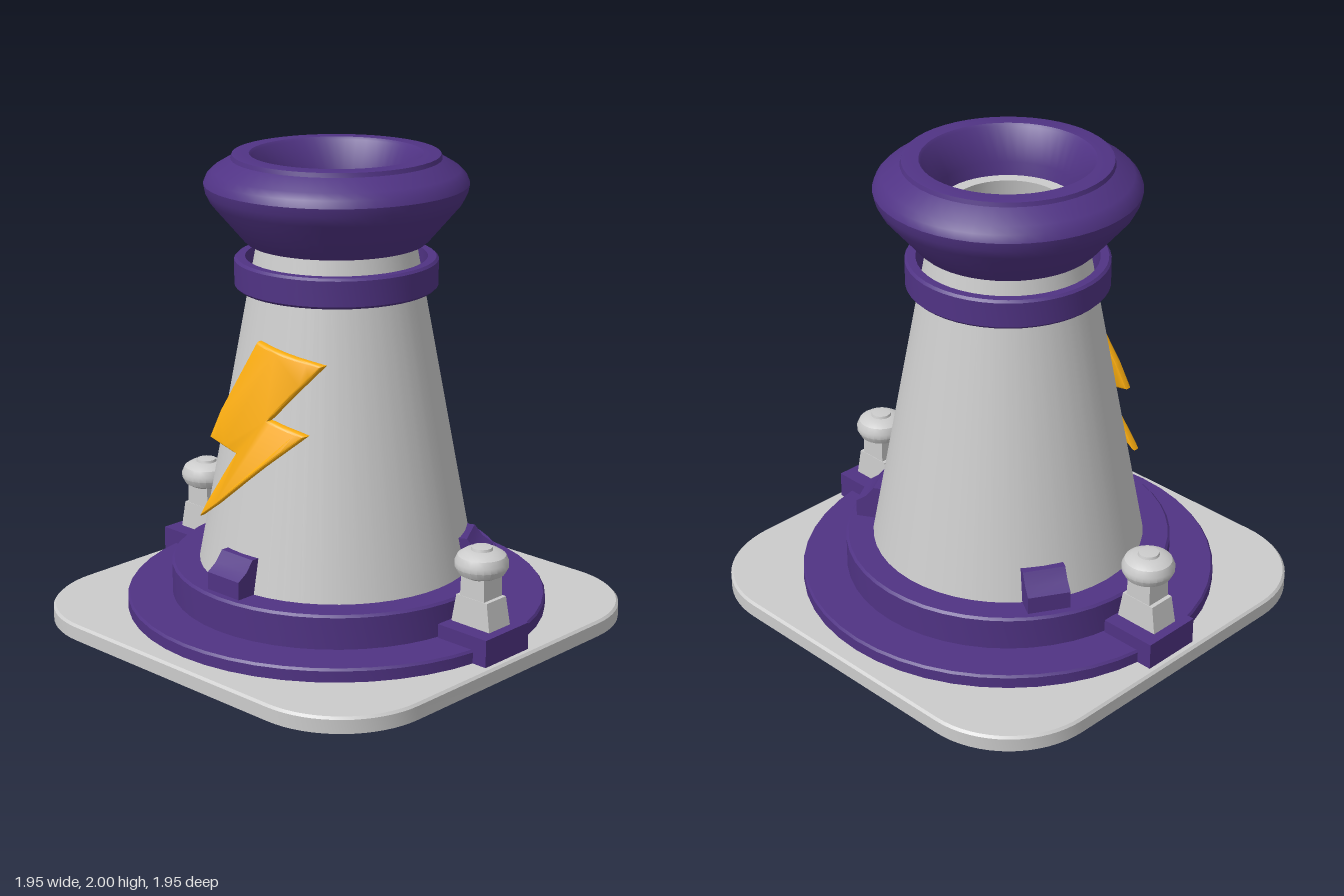
import * as THREE from 'three';
import { toCreasedNormals } from 'three/addons/utils/BufferGeometryUtils.js';

const grey = new THREE.MeshStandardMaterial({ color: 0xcccccc, side: THREE.DoubleSide });
const purple = new THREE.MeshStandardMaterial({ color: 0x503384, side: THREE.DoubleSide });
const yellow = new THREE.MeshStandardMaterial({ color: 0xffb010 });

const V = (x, y) => new THREE.Vector2(x, y);

function part(parent, name, geometry, material, x = 0, y = 0, z = 0) {
  const mesh = new THREE.Mesh(toCreasedNormals(geometry, 0.5), material);
  mesh.name = name;
  mesh.position.set(x, y, z);
  parent.add(mesh);
}

// Profile runs counter-clockwise: outside going up, inside coming down
const lathe = (points, segments = 48) =>
  new THREE.LatheGeometry(points.map(([r, y]) => V(r, y)), segments);

// Rectangle with rounded corners, centred on the origin
function roundedRect(hx, hy, r, Type = THREE.Shape) {
  const s = new Type();
  s.moveTo(hx, -hy + r);
  s.lineTo(hx, hy - r);
  if (r) s.absarc(hx - r, hy - r, r, 0, Math.PI / 2);
  s.lineTo(-hx + r, hy);
  if (r) s.absarc(-hx + r, hy - r, r, Math.PI / 2, Math.PI);
  s.lineTo(-hx, -hy + r);
  if (r) s.absarc(-hx + r, -hy + r, r, Math.PI, Math.PI * 1.5);
  s.lineTo(hx - r, -hy);
  if (r) s.absarc(hx - r, -hy + r, r, Math.PI * 1.5, Math.PI * 2);
  return s;
}

// Extrude upwards from y0 to y1
function slab(shape, y0, y1, bevel = 0) {
  const g = new THREE.ExtrudeGeometry(shape, {
    depth: y1 - y0 - 2 * bevel, curveSegments: 8, bevelEnabled: bevel > 0,
    bevelThickness: bevel, bevelSize: bevel, bevelOffset: -bevel, bevelSegments: 1,
  });
  return g.rotateX(-Math.PI / 2).translate(0, y0 + bevel, 0);
}

// Box whose top is narrower than its bottom
function taperedBox(w, h, d, topX, topZ) {
  const g = new THREE.BoxGeometry(w, h, d);
  const p = g.attributes.position;
  for (let i = 0; i < p.count; i++) {
    if (p.getY(i) > 0) p.setXYZ(i, p.getX(i) * topX, p.getY(i), p.getZ(i) * topZ);
  }
  return g;
}

// Radius of the tower wall at height y
const towerRadius = (y) => 0.582 - 0.187 * (y - 0.27);

function boltGeometry() {
  const corners = [
    [-0.035, 1.27], [-0.19, 0.97], [-0.23, 0.86], [-0.07, 0.825], [-0.235, 0.535],
    [0.22, 0.937], [0.055, 0.977], [0.25, 1.218],
  ].map(([x, y]) => V(x, y));
  // Subdivide the edges so the outline can follow the tower
  const outline = [];
  corners.forEach((a, i) => {
    const b = corners[(i + 1) % corners.length];
    for (let k = 0; k < 6; k++) outline.push(a.clone().lerp(b, k / 6));
  });
  const g = new THREE.ExtrudeGeometry(new THREE.Shape(outline), {
    depth: 0.015, bevelThickness: 0.01, bevelSize: 0.01, bevelSegments: 3,
  });
  // Flat on one side, wrapped back round the tower on the other
  const p = g.attributes.position;
  for (let i = 0; i < p.count; i++) {
    const front = towerRadius(p.getY(i)) + 0.03 - 1.1 * Math.max(0, p.getX(i)) ** 2;
    p.setZ(i, p.getZ(i) - 0.025 + front);
  }
  return g;
}

export function createModel() {
  const model = new THREE.Group();
  model.name = 'tower';

  // Base plate: hollow below, chamfered on top
  const skirt = roundedRect(0.975, 0.975, 0.41);
  skirt.holes.push(roundedRect(0.96, 0.96, 0.395, THREE.Path));
  part(model, 'plateSkirt', slab(skirt, 0, 0.058), grey);
  part(model, 'plateTop', slab(roundedRect(0.975, 0.975, 0.41), 0.048, 0.068, 0.01), grey);

  // Stepped foot
  part(model, 'foot', lathe([
    [0.88, 0.045], [0.89, 0.045], [0.89, 0.115], [0.882, 0.125], [0.7, 0.125],
    [0.7, 0.26], [0.69, 0.27], [0.58, 0.27], [0.58, 0.07],
  ]), purple);

  // Hollow tower wall
  part(model, 'towerWall', lathe([
    [towerRadius(0.07), 0.07], [towerRadius(1.8), 1.8], [0.225, 1.8], [0.53, 0.07],
  ]), grey);

  // Loose hoop round the neck
  part(model, 'neckBand', lathe([
    [0.375, 1.45], [0.41, 1.45], [0.42, 1.46], [0.42, 1.565], [0.41, 1.575],
    [0.375, 1.575], [0.375, 1.45],
  ]), purple);

  // Flared rim
  part(model, 'rim', lathe([
    [0.28, 1.638], [0.37, 1.638], [0.385, 1.652], [0.515, 1.805], [0.535, 1.845],
    [0.542, 1.88], [0.53, 1.91], [0.505, 1.935], [0.43, 1.98], [0.425, 1.998],
    [0.415, 2], [0.355, 2], [0.345, 1.99], [0.28, 1.86], [0.28, 1.638],
  ]), purple);

  // Lightning bolt on the front
  part(model, 'bolt', boltGeometry(), yellow);

  // Three wedge brackets round the bottom of the tower
  const wedge = new THREE.Shape([
    V(0.53, 0.25), V(0.66, 0.25), V(0.66, 0.345), V(0.615, 0.375), V(0.58, 0.42), V(0.53, 0.42),
  ]);
  for (let i = 0; i < 3; i++) {
    const g = new THREE.ExtrudeGeometry(wedge, { depth: 0.18, bevelEnabled: false });
    g.translate(0, 0, -0.085).rotateY(-Math.PI / 2 + (i * Math.PI * 2) / 3);
    part(model, 'bracket', g, purple);
  }

  // Knob on a block at each side
  const frame = roundedRect(0.126, 0.133, 0);
  frame.holes.push(roundedRect(0.106, 0.113, 0, THREE.Path));
  for (const side of [1, -1]) {
    const post = new THREE.Group();
    post.name = side > 0 ? 'leftPost' : 'rightPost';
    post.position.x = side * 0.805;
    model.add(post);
    part(post, 'blockFrame', slab(frame, 0, 0.075), purple, side * 0.015);
    part(post, 'block', new THREE.BoxGeometry(0.252, 0.115, 0.266), purple, side * 0.015, 0.1265);
    part(post, 'pedestal', taperedBox(0.2, 0.12, 0.13, 0.8, 0.92), grey, 0, 0.242);
    part(post, 'stem', taperedBox(0.125, 0.1, 0.115, 0.96, 0.96), grey, 0, 0.348);
    part(post, 'knob', lathe([
      [0, 0.385], [0.065, 0.386], [0.095, 0.402], [0.11, 0.43], [0.11, 0.452],
      [0.098, 0.478], [0.072, 0.495], [0.045, 0.499], [0.042, 0.51], [0, 0.514],
    ], 24), grey);
  }
  return model;
}
